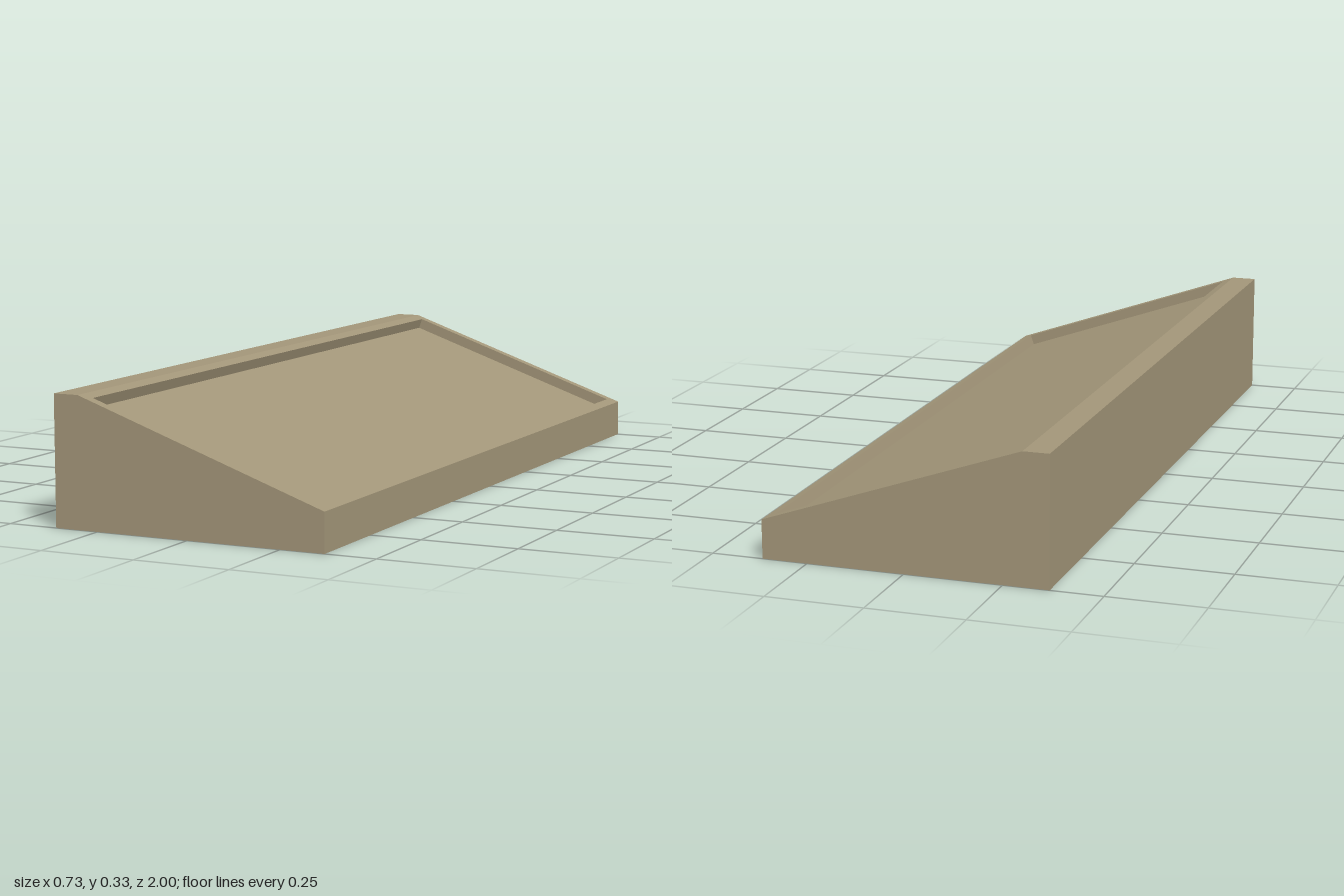
import * as THREE from 'three';

// Flat convex faces (lists of corners, counter-clockwise from outside) fanned into triangles
function facesGeometry(faces) {
  const pos = [];
  for (const f of faces) {
    for (let i = 1; i < f.length - 1; i++) pos.push(...f[0], ...f[i], ...f[i + 1]);
  }
  const g = new THREE.BufferGeometry();
  g.setAttribute('position', new THREE.Float32BufferAttribute(pos, 3));
  g.computeVertexNormals();
  return g;
}

const at = (p, z) => [p.x, p.y, z];
// Strip along z joining two profile points, each with its own half length
const strip = (p, q, hp, hq = hp) => [at(p, hp), at(p, -hp), at(q, -hq), at(q, hq)];
const cap = (pts, z) => pts.map((p) => at(p, z));
const V = (x, y) => new THREE.Vector2(x, y);

export function createModel() {
  const model = new THREE.Group();
  model.name = 'slopedTray';
  const tan = new THREE.MeshStandardMaterial({ color: 0xa39679 });
  tan.name = 'tan';

  const add = (name, faces) => {
    const mesh = new THREE.Mesh(facesGeometry(faces), tan);
    mesh.name = name;
    model.add(mesh);
  };

  const half = 1, margin = 0.028, depth = 0.029;
  const inner = half - margin;

  // Wedge profile
  const low = V(0.367, 0.1), high = V(-0.3, 0.333);
  const profile = [V(-0.367, 0), V(0.367, 0), low, high, V(-0.367, 0.333)];

  // Recess corners, square to the slope
  const along = high.clone().sub(low).normalize();
  const down = V(-along.y, along.x);
  const rimLow = low.clone().addScaledVector(along, margin);
  const rimHigh = high.clone().addScaledVector(along, -margin);
  const floorLow = rimLow.clone().addScaledVector(down, depth);
  const floorHigh = rimHigh.clone().addScaledVector(down, depth);

  // Body: every side but the slope, plus both ends
  const sides = profile
    .map((p, i) => [p, profile[(i + 1) % profile.length]])
    .filter(([p]) => p !== low)
    .map(([p, q]) => strip(p, q, half));
  add('wedgeBody', [...sides, cap(profile, half), cap(profile, -half).reverse()]);

  // Narrow mitred frame on the slope
  add('slopeRim', [
    strip(low, rimLow, half, inner),
    strip(rimHigh, high, inner, half),
    [at(low, half), at(rimLow, inner), at(rimHigh, inner), at(high, half)],
    [at(rimLow, -inner), at(low, -half), at(high, -half), at(rimHigh, -inner)],
  ]);

  // Recess walls and floor
  const pocket = [rimLow, rimHigh, floorHigh, floorLow];
  add('recessWalls', [
    strip(rimLow, floorLow, inner),
    strip(floorHigh, rimHigh, inner),
    cap(pocket, -inner),
    cap(pocket, inner).reverse(),
  ]);
  add('recessFloor', [strip(floorLow, floorHigh, inner)]);

  return model;
}
